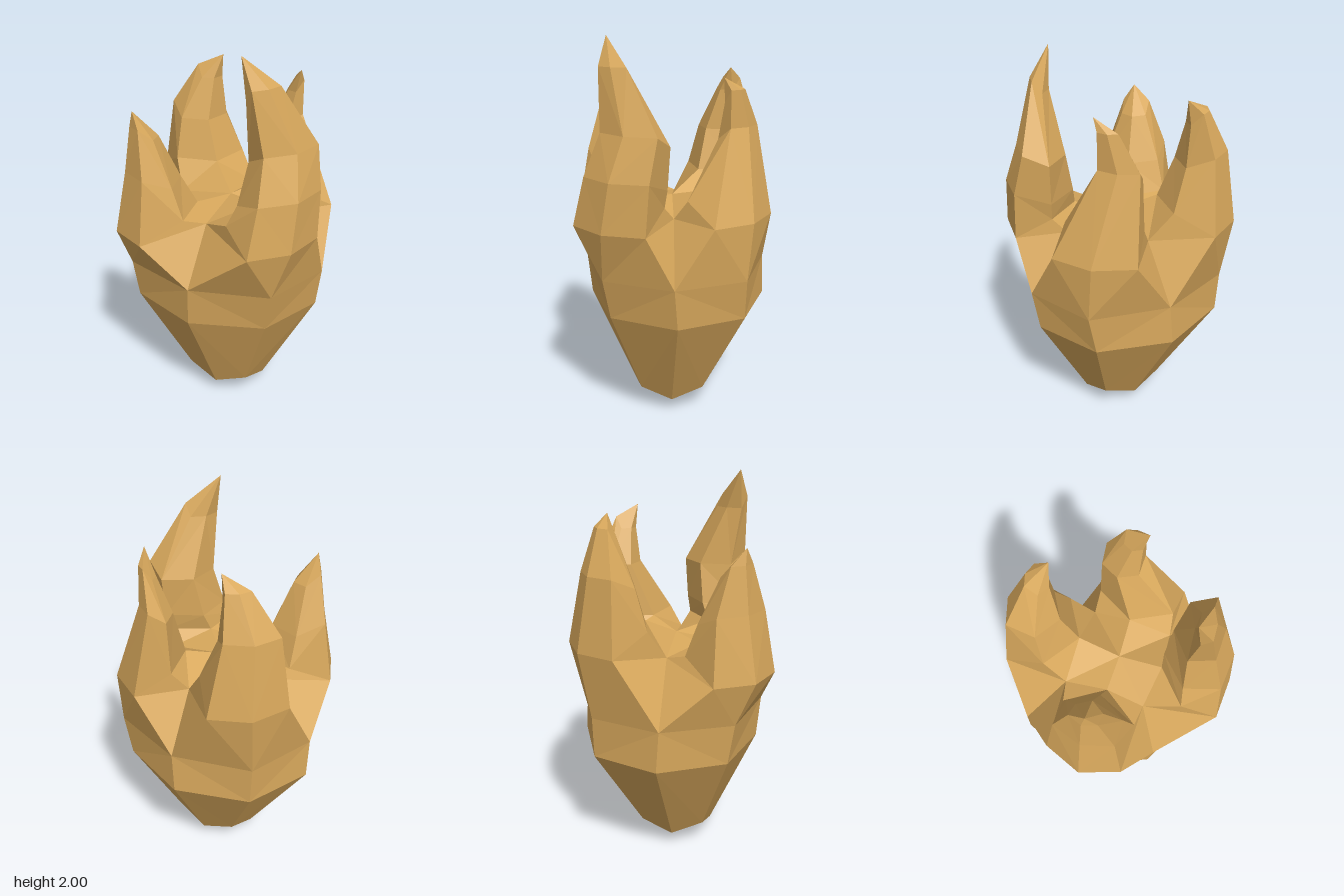
import * as THREE from 'three';

const material = new THREE.MeshStandardMaterial({ color: 0xd8a85c, flatShading: true, side: THREE.DoubleSide });

// Flat-shaded skin through a stack of loops of equal length, closed by an optional bottom or top point
function skin(name, loops, bottom, top) {
  const pos = [];
  const tri = (a, b, c) => pos.push(...a, ...b, ...c);
  const n = loops[0].length;
  const last = loops[loops.length - 1];
  for (let i = 0; i < n; i++) {
    const j = (i + 1) % n;
    if (bottom) tri(bottom, loops[0][j], loops[0][i]);
    for (let k = 0; k + 1 < loops.length; k++) {
      const p = loops[k], q = loops[k + 1];
      // Alternating diagonals keep the facets symmetrical about each ridge
      if (i % 2) {
        tri(p[i], p[j], q[j]);
        tri(p[i], q[j], q[i]);
      } else {
        tri(p[i], p[j], q[i]);
        tri(p[j], q[j], q[i]);
      }
    }
    if (top) tri(last[i], last[j], top);
  }
  const geometry = new THREE.BufferGeometry();
  geometry.setAttribute('position', new THREE.Float32BufferAttribute(pos, 3));
  geometry.computeVertexNormals();
  const mesh = new THREE.Mesh(geometry, material);
  mesh.name = name;
  return mesh;
}

// Eight-sided body ring starting at the front; odd points are corners, raised by lift
function ring(y, rx, rz, cx, cz, corner, lift) {
  return Array.from({ length: 8 }, (_, i) => {
    const a = i * Math.PI / 4, odd = i % 2;
    const k = odd ? corner * Math.SQRT2 : 1;
    return [cx + rx * k * Math.sin(a), y + lift * odd, cz + rz * k * Math.cos(a)];
  });
}

// Six-sided spike section: three outer points, then three inner ones raised by lift
const OUTLINE = [[-1, 0.65], [0, 1], [1, 0.65], [0.95, -0.4], [0, -1], [-0.95, -0.4]];
function section(angle, [y, out, side, width, depth], lift) {
  const s = Math.sin(angle), c = Math.cos(angle);
  return OUTLINE.map(([u, v], i) => {
    const o = out + v * depth, t = side + u * width;
    return [o * s + t * c, y + (i > 2 ? lift : 0), o * c - t * s];
  });
}

// Sections list height, distance outwards, sideways shift, half width and half depth
const SPIKES = [
  {
    name: 'frontLeftSpike', degrees: 60, tip: [0.2, 2, 0.31],
    sections: [
      [1.1, 0.4, -0.05, 0.21, 0.18], [1.35, 0.395, -0.01, 0.185, 0.17],
      [1.56, 0.375, 0.03, 0.16, 0.12], [1.86, 0.375, -0.085, 0.08, 0.045],
    ],
  },
  {
    name: 'backLeftSpike', degrees: 135, tip: [0.27, 1.81, -0.245],
    sections: [[1.13, 0.37, 0.01, 0.21, 0.18], [1.57, 0.34, 0.105, 0.1, 0.08], [1.75, 0.365, 0.055, 0.05, 0.04]],
  },
  {
    name: 'backRightSpike', degrees: 225, tip: [-0.2, 1.82, -0.31],
    sections: [[1.18, 0.41, 0.01, 0.2, 0.2], [1.55, 0.42, 0.03, 0.135, 0.13], [1.76, 0.4, -0.02, 0.06, 0.055]],
  },
  {
    name: 'frontRightSpike', degrees: 315, tip: [-0.34, 1.69, 0.37],
    sections: [[1.06, 0.4, 0, 0.2, 0.215], [1.38, 0.41, 0, 0.155, 0.14], [1.61, 0.445, 0.005, 0.07, 0.07]],
  },
];

export function createModel() {
  const group = new THREE.Group();
  group.name = 'spikedBud';

  // Tapered body
  const foot = ring(0.075, 0.205, 0.195, 0, 0, 0.85, 0.06);
  const belly = ring(0.62, 0.52, 0.47, -0.03, -0.03, 0.72, 0);
  const shoulder = ring(0.835, 0.535, 0.475, -0.015, -0.015, 0.75, 0);
  group.add(skin('body', [foot, belly, shoulder], [0, 0, 0], null));

  // Every spike grows from a quarter of the shoulder, between two low saddles
  const centre = [0, 1.18, 0];
  const saddles = ring(1.13, 0.3, 0.29, 0, -0.01, 1, 0).filter((_, i) => i % 2 === 0);
  SPIKES.forEach(({ name, degrees, tip, sections }, s) => {
    const base = [
      shoulder[2 * s], shoulder[2 * s + 1], shoulder[(2 * s + 2) % 8],
      saddles[(s + 1) % 4], centre, saddles[s],
    ];
    const angle = THREE.MathUtils.degToRad(degrees);
    // The inner side starts above the outer one, then drops below it
    const loops = sections.map((values, k) => section(angle, values, k ? -0.06 : 0.1));
    group.add(skin(name, [base, ...loops], null, tip));
  });
  return group;
}
